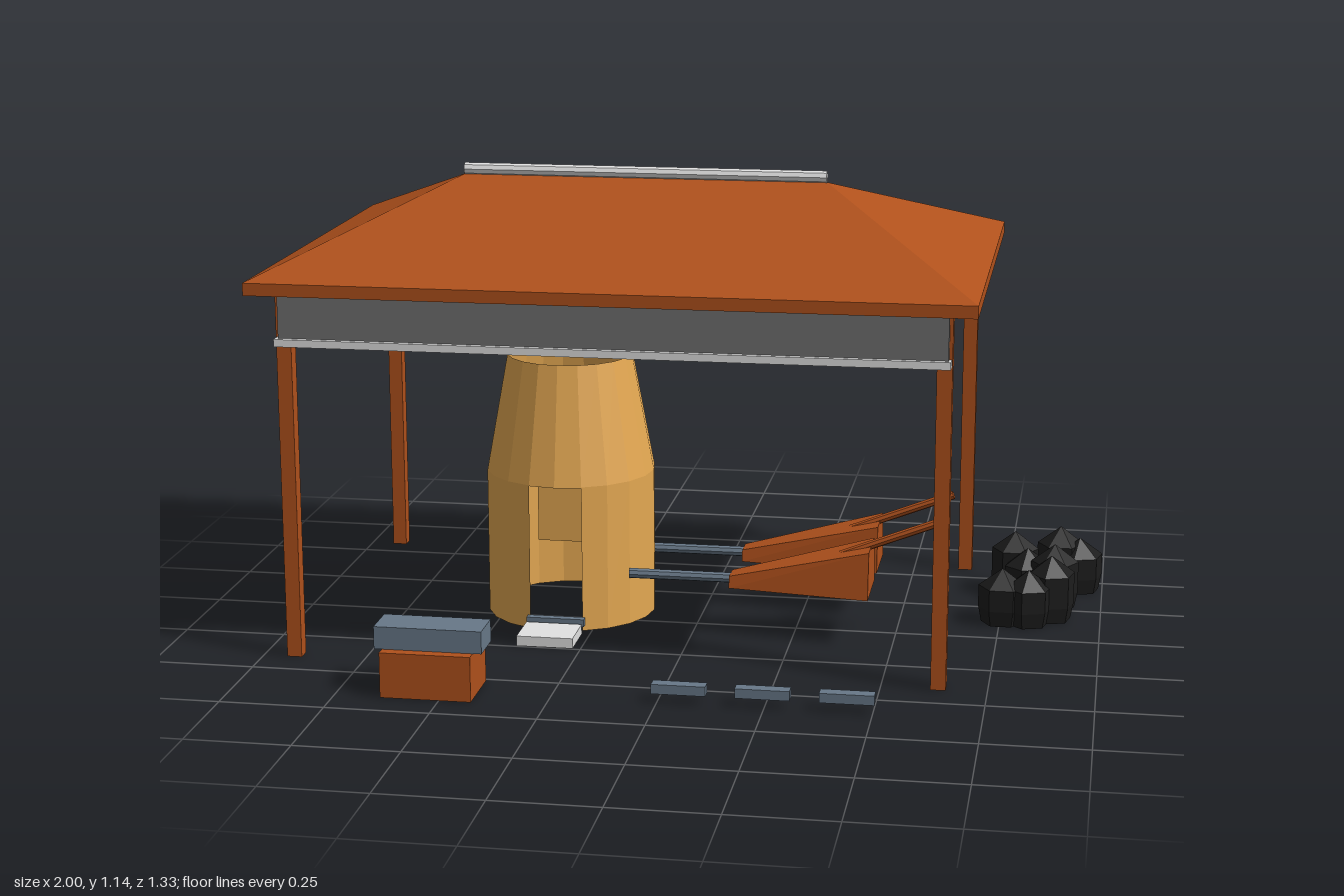
import * as THREE from 'three';
import { ConvexGeometry } from 'three/addons/geometries/ConvexGeometry.js';

const material = (name, color, extra = {}) => {
  const m = new THREE.MeshStandardMaterial({ color, flatShading: true, ...extra });
  m.name = name;
  return m;
};

export function createModel() {
  const wood = material('redWood', 0xb0511c);
  const clay = material('clay', 0xe4a852, { side: THREE.DoubleSide });
  const iron = material('iron', 0x687888);
  const boardGrey = material('darkGrey', 0x707070);
  const paleGrey = material('paleGrey', 0xe2e2e2);
  const black = material('charcoal', 0x1c1c1c);
  const model = new THREE.Group();

  const add = (name, geometry, mat) => {
    const mesh = new THREE.Mesh(geometry, mat);
    mesh.name = name;
    model.add(mesh);
    return mesh;
  };
  // Box given by its limits on each axis
  const box = (name, mat, [x0, x1], [y0, y1], [z0, z1]) => {
    const mesh = add(name, new THREE.BoxGeometry(x1 - x0, y1 - y0, z1 - z0), mat);
    mesh.position.set((x0 + x1) / 2, (y0 + y1) / 2, (z0 + z1) / 2);
  };
  // Straight rod between two points
  const rod = (name, mat, a, b, radius, sides) => {
    const from = new THREE.Vector3(...a), to = new THREE.Vector3(...b);
    const mesh = add(name, new THREE.CylinderGeometry(radius, radius, from.distanceTo(to), sides), mat);
    mesh.position.copy(from).lerp(to, 0.5);
    mesh.quaternion.setFromUnitVectors(new THREE.Vector3(0, 1, 0), to.sub(from).normalize());
  };
  const hull = (name, mat, points) =>
    add(name, new ConvexGeometry(points.map((p) => new THREE.Vector3(...p))), mat);

  // Hipped roof with a thick eave and a ridge cap
  const roofPoints = [[-0.6, 1.112, -0.097], [0.305, 1.112, -0.097]];
  for (const x of [-1, 0.712])
    for (const z of [-0.664, 0.468])
      for (const y of [0.9, 0.93]) roofPoints.push([x, y, z]);
  hull('roof', wood, roofPoints);
  rod('ridgeCap', paleGrey, [-0.6, 1.125, -0.097], [0.305, 1.125, -0.097], 0.015, 8);

  // Corner posts
  for (const x of [-0.923, 0.635])
    for (const z of [0.392, -0.588])
      box('post', wood, [x - 0.018, x + 0.018], [0, 0.902], [z - 0.018, z + 0.018]);

  // Hanging boards with rails, front and back
  for (const s of [1, -1]) {
    const span = (a, b) => [-0.098 + s * a, -0.098 + s * b].sort((p, q) => p - q);
    box('valance', boardGrey, [-0.93, 0.645], [0.785, 0.902], span(0.508, 0.528));
    box('valanceRail', paleGrey, [-0.937, 0.651], [0.775, 0.793], span(0.511, 0.542));
  }

  // Furnace: open shell with a doorway facing forward
  const cx = -0.339, cz = -0.098, R = 0.213;
  const gap = Math.PI / 10;
  add('furnaceWall', new THREE.CylinderGeometry(R, R, 0.37, 18, 1, true, gap, Math.PI * 2 - 2 * gap), clay)
    .position.set(cx, 0.185, cz);
  add('furnaceStack', new THREE.CylinderGeometry(0.158, R, 0.298, 20, 1, true), clay)
    .position.set(cx, 0.517, cz);
  add('furnaceInnerLintel', new THREE.PlaneGeometry(0.132, 0.17), clay)
    .position.set(cx, 0.285, 0);

  // Tapping slab and bar before the doorway
  box('tapSlab', paleGrey, [-0.41, -0.27], [0, 0.025], [0.13, 0.245]);
  box('tapBar', iron, [-0.412, -0.267], [0.015, 0.034], [0.1, 0.121]);

  // Pair of bellows with nozzle and handle
  for (const z of [0.038, -0.194]) {
    const points = [];
    for (const [x, top, low, high] of [[0.09, 0.148, 0.035, 0.028], [0.44, 0.235, 0.087, 0.069]])
      for (const s of [-1, 1])
        points.push([x, 0.119, z + s * low], [x, top, z + s * high]);
    hull('bellows', wood, points);
    rod('bellowsNozzle', iron, [-0.165, 0.136, z], [0.1, 0.136, z], 0.013, 8);
    rod('bellowsHandle', wood, [0.365, 0.208, z], [0.624, 0.309, z], 0.011, 8);
  }

  // Anvil on a wooden block
  box('anvilBlock', wood, [-0.64, -0.424], [0, 0.109], [0.51, 0.664]);
  box('anvil', iron, [-0.659, -0.403], [0.109, 0.163], [0.54, 0.637]);

  // Row of ingots
  for (let i = 0; i < 3; i++) {
    const x = -0.013 + i * 0.195;
    box('ingot', iron, [x, x + 0.127], [0.022, 0.045], [0.569, 0.601]);
  }

  // Heap of charcoal: pointed six-sided lumps [x, z, height]
  const lumps = [
    [0.89, -0.455, 0.165], [0.94, -0.44, 0.14], [0.775, -0.39, 0.165], [0.81, -0.325, 0.14],
    [0.88, -0.285, 0.165], [0.875, -0.18, 0.165], [0.755, -0.135, 0.14], [0.82, -0.13, 0.14],
  ];
  lumps.forEach(([x, z, h], i) => {
    const profile = [[0, 0], [0.052, 0], [0.06, 0.04], [0.06, h - 0.045], [0, h]]
      .map(([r, y]) => new THREE.Vector2(r, y));
    const lump = add('charcoalLump', new THREE.LatheGeometry(profile, 6), black);
    lump.position.set(x, 0, z);
    lump.rotation.y = Math.PI / 6 + (i % 2) * 0.3;
  });

  return model;
}
